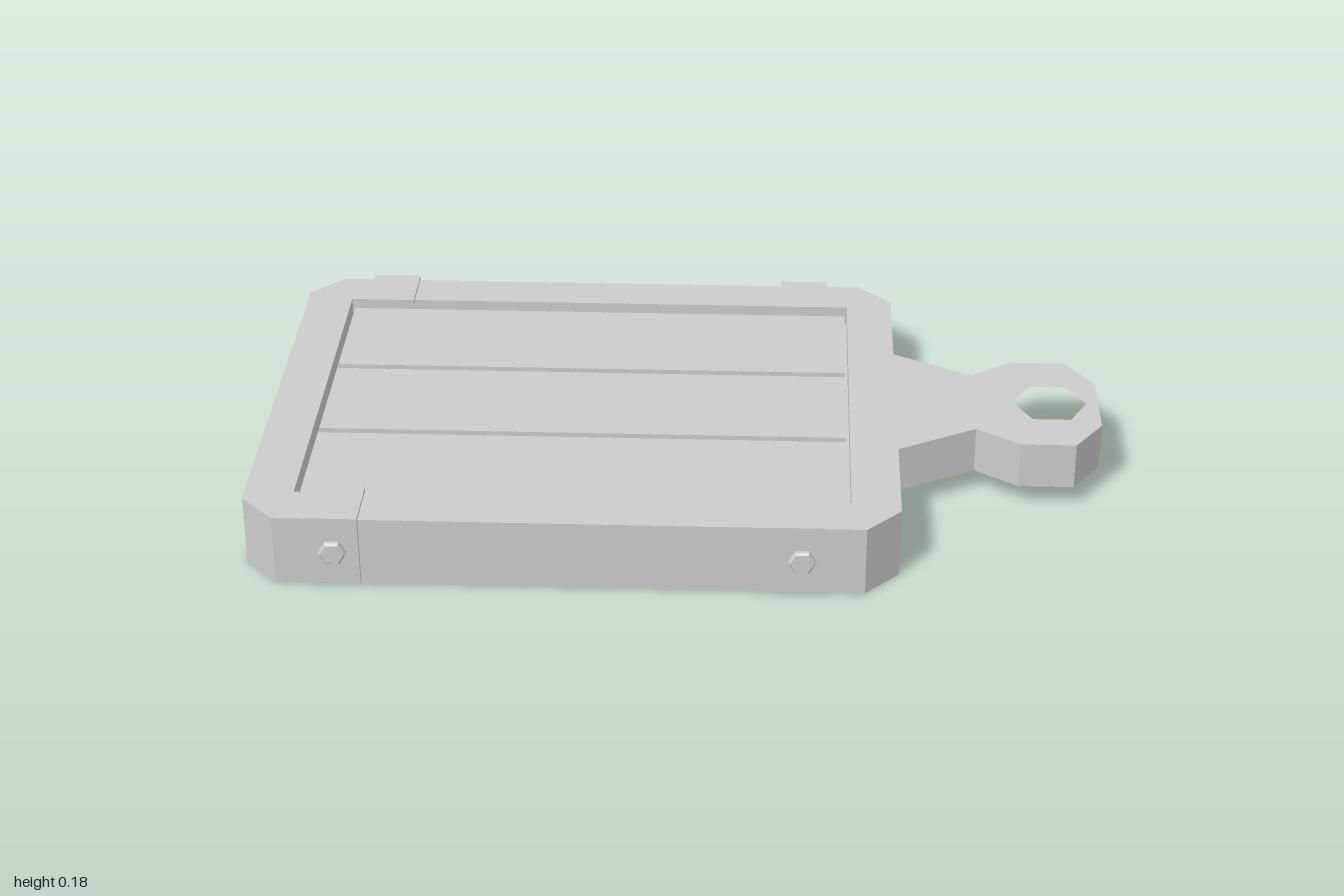
import * as THREE from 'three';

export function createModel() {
  const model = new THREE.Group();
  model.name = 'servingBoard';
  const grey = new THREE.MeshStandardMaterial({ color: 0xcccccc });
  grey.name = 'plain grey';

  function add(name, geometry, parent = model) {
    const mesh = new THREE.Mesh(geometry, grey);
    mesh.name = name;
    parent.add(mesh);
    return mesh;
  }
  // box from its limits
  function box(name, x0, x1, y0, y1, z0, z1, parent) {
    const g = new THREE.BoxGeometry(x1 - x0, y1 - y0, z1 - z0);
    g.translate((x0 + x1) / 2, (y0 + y1) / 2, (z0 + z1) / 2);
    return add(name, g, parent);
  }
  const points = list => list.map(([x, z]) => new THREE.Vector2(x, z));
  // horizontal slab from an x/z outline with an optional hole
  function slab(name, outline, hole, y0, y1) {
    const shape = new THREE.Shape(points(outline));
    if (hole) shape.holes.push(new THREE.Path(points(hole)));
    const g = new THREE.ExtrudeGeometry(shape, { depth: y1 - y0, bevelEnabled: false });
    g.rotateX(Math.PI / 2).translate(0, y1, 0);
    return add(name, g);
  }

  // frame with cut corners around a shallow recess
  const outline = [
    [-1, -0.515], [-0.92, -0.598], [0.43, -0.598], [0.51, -0.515],
    [0.51, 0.515], [0.43, 0.598], [-0.92, 0.598], [-1, 0.515],
  ];
  const recess = [[-0.886, -0.484], [-0.886, 0.481], [0.396, 0.481], [0.396, -0.484]];
  slab('base', outline, null, 0, 0.125);
  slab('frame', outline, recess, 0.125, 0.17);

  // three planks separated by grooves
  [[-0.476, -0.172], [-0.152, 0.149], [0.169, 0.473]].forEach(([z0, z1]) =>
    box('plank', -0.879, 0.389, 0.12, 0.148, z0, z1));

  // handle with a hexagonal hole
  const side = [[0.5, 0.238], [0.51, 0.235], [0.698, 0.132], [0.8, 0.202], [0.932, 0.202], [1, 0.105]];
  const mirrored = side.map(([x, z]) => [x, -z]).reverse();
  const hexagon = [];
  for (let i = 0; i < 6; i++) {
    const a = -i * Math.PI / 3;
    hexagon.push([0.882 + 0.09 * Math.cos(a), 0.08 * Math.sin(a) / Math.sin(Math.PI / 3)]);
  }
  slab('handle', [...side, ...mirrored], hexagon, 0.055, 0.17);

  // corner brackets, each with a hexagonal bolt
  for (const x of [-0.783, 0.285]) {
    for (const s of [1, -1]) {
      const bracket = new THREE.Group();
      bracket.name = 'bracket';
      bracket.position.x = x;
      if (s < 0) bracket.rotation.y = Math.PI;
      model.add(bracket);
      box('bracketTop', -0.06, 0.06, 0.165, 0.178, 0.468, 0.609, bracket);
      box('bracketSide', -0.06, 0.06, 0.007, 0.165, 0.59, 0.609, bracket);
      // hexagon points face sideways
      const bolt = new THREE.CylinderGeometry(0.028, 0.032, 0.022, 6).toNonIndexed();
      bolt.rotateY(Math.PI / 6).rotateX(Math.PI / 2);
      bolt.rotateZ(0).translate(0, 0.09, 0.612);
      bolt.computeVertexNormals();
      const head = add('bolt', bolt, bracket);
      head.geometry = hexBolt();
    }
  }

  // bolt head: a straight hexagon with a small chamfered face
  function hexBolt() {
    const profile = [[0, 0.6], [0.032, 0.6], [0.032, 0.617], [0.027, 0.623], [0, 0.623]];
    const g = new THREE.LatheGeometry(
      profile.map(([r, z]) => new THREE.Vector2(r, z)), 6, Math.PI / 2).toNonIndexed();
    g.rotateX(Math.PI / 2).translate(0, 0.09, 0);
    g.computeVertexNormals();
    return g;
  }

  return model;
}
